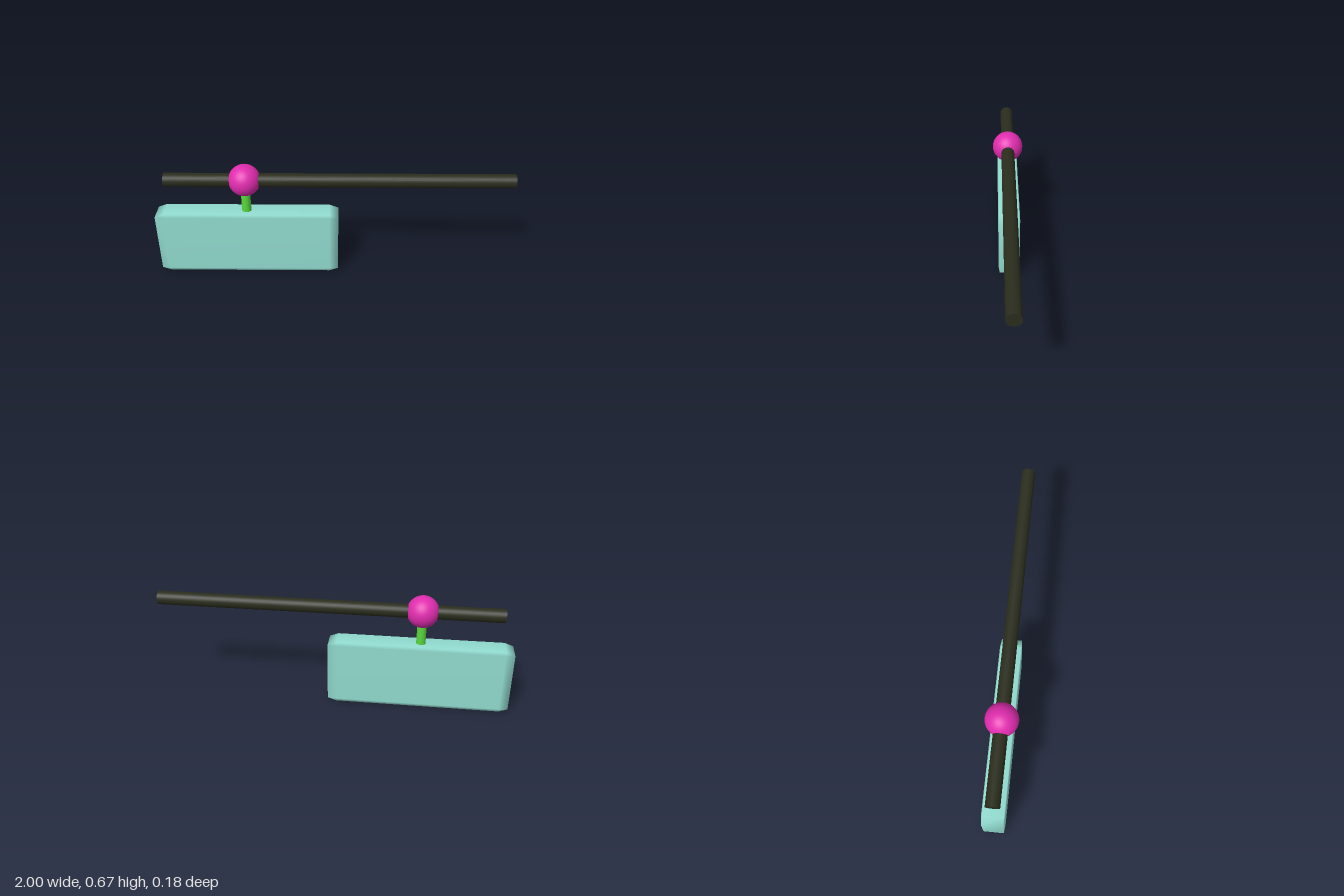
import * as THREE from 'three';
import { mergeVertices } from 'three/addons/utils/BufferGeometryUtils.js';
import { ConvexGeometry } from 'three/addons/geometries/ConvexGeometry.js';

// Chamfered box whose bevel is proportional to each side, with smooth normals
function chamferedBox(w, h, d, bevel) {
  const points = [];
  const inner = 1 - 2 * bevel;
  for (const x of [-1, 1]) for (const y of [-1, 1]) for (const z of [-1, 1]) {
    for (let axis = 0; axis < 3; axis++) {
      const s = [inner, inner, inner];
      s[axis] = 1;
      points.push(new THREE.Vector3(x * s[0] * w / 2, y * s[1] * h / 2, z * s[2] * d / 2));
    }
  }
  const hull = new ConvexGeometry(points);
  hull.deleteAttribute('normal');
  const geometry = mergeVertices(hull, 1e-5);
  geometry.computeVertexNormals();
  return geometry;
}

export function createModel() {
  const model = new THREE.Group();
  const add = (name, geometry, color, x, y) => {
    const mesh = new THREE.Mesh(geometry, new THREE.MeshStandardMaterial({ color }));
    mesh.name = name;
    mesh.position.set(x, y, 0);
    model.add(mesh);
    return mesh;
  };

  // Hanging panel
  add('panel', chamferedBox(1.03, 0.385, 0.126, 0.048), 0x92dcd0, -0.485, 0.1935);

  // Stem from the panel up into the ball joint
  add('stem', new THREE.CylinderGeometry(0.026, 0.026, 0.2, 32), 0x58d83c, -0.487, 0.48);

  // Ball joint threaded on the rod
  add('ballJoint', new THREE.SphereGeometry(0.089, 48, 32), 0xe02cae, -0.487, 0.58);

  // Long horizontal rod
  const rod = add('rod', new THREE.CylinderGeometry(0.0385, 0.0385, 1.93, 32), 0x2a2d1d, 0.035, 0.58);
  rod.rotation.z = Math.PI / 2;

  return model;
}
